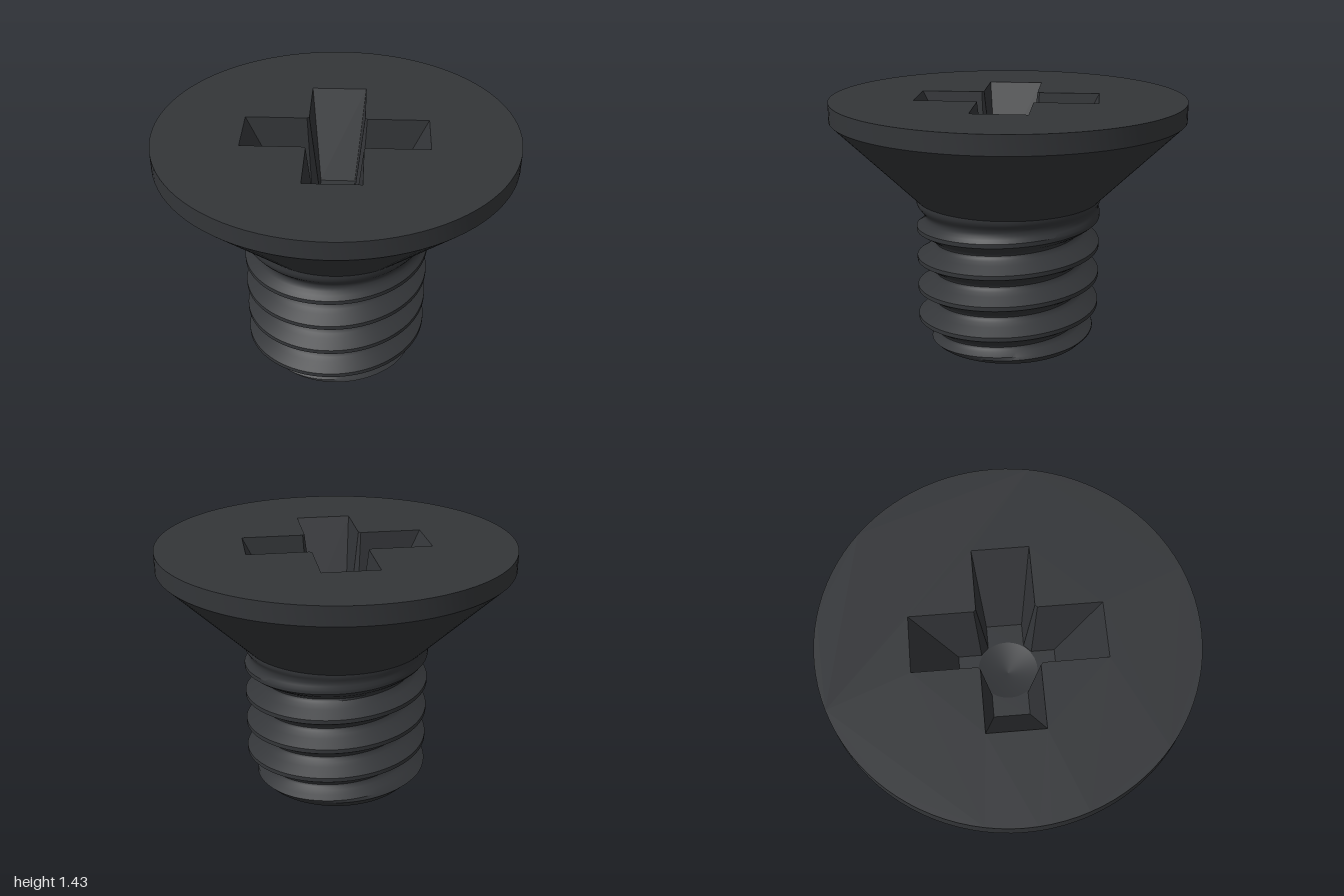
import * as THREE from 'three';
import { mergeVertices, toCreasedNormals } from 'three/addons/utils/BufferGeometryUtils.js';

const SEG = 96;
const TOP = 1.43, NECK = 0.86;           // head top and head/shank joint
const SHANK_R = 0.53, PITCH = 0.18;
const CREST_Y = 0.135;                   // a crest height on the +z side
const DEPTH = 0.48, PIT_R = 0.165;       // recess

const material = new THREE.MeshStandardMaterial({ color: 0x333538 });

function part(name, geometry) {
  const mesh = new THREE.Mesh(geometry, material);
  mesh.name = name;
  return mesh;
}

function fromTriangles(points) {
  const geo = new THREE.BufferGeometry().setFromPoints(points);
  geo.computeVertexNormals();
  return geo;
}

// Half of the thread profile: distance from the crest, radius
const profile = [[0, 0.53], [0.012, 0.53], [0.03, 0.501], [0.048, 0.472], [0.065, 0.445], [0.078, 0.43], [0.09, 0.425]];

function threadRadius(a, y) {
  const turns = (y - CREST_Y) / PITCH - a / (2 * Math.PI);
  const d = Math.abs(turns - Math.round(turns)) * PITCH;
  let i = 1;
  while (i < profile.length - 1 && d > profile[i][0]) i++;
  const [d0, r0] = profile[i - 1], [d1, r1] = profile[i];
  let r = THREE.MathUtils.mapLinear(Math.min(d, d1), d0, d1, r0, r1);
  // Run-out below the head, chamfer at the tip
  r = THREE.MathUtils.lerp(r, SHANK_R, THREE.MathUtils.clamp((y - 0.67) / 0.17, 0, 1));
  return Math.min(r, 0.445 + y);
}

function threadPoint(a, y) {
  const r = threadRadius(a, y);
  return new THREE.Vector3(r * Math.sin(a), y, r * Math.cos(a));
}

// Rows follow the helix so crests and roots stay crisp
function threadGeometry() {
  const offsets = [];
  for (let k = -2; k <= 5; k++) {
    for (let i = profile.length - 1; i > 0; i--) offsets.push(k * PITCH - profile[i][0]);
    for (let i = 0; i < profile.length - 1; i++) offsets.push(k * PITCH + profile[i][0]);
  }
  const columns = [];
  for (let i = 0; i <= SEG; i++) {
    const a = (i / SEG) * 2 * Math.PI;
    columns.push(offsets.map((o) =>
      threadPoint(a, THREE.MathUtils.clamp(CREST_Y + (PITCH * i) / SEG + o, 0, NECK))));
  }
  const tris = [];
  const add = (a, b, c) => {
    if (new THREE.Triangle(a, b, c).getArea() > 1e-8) tris.push(a, b, c);
  };
  for (let i = 0; i < SEG; i++) {
    for (let j = 0; j < offsets.length - 1; j++) {
      const p = columns[i], q = columns[i + 1];
      add(p[j], q[j], q[j + 1]);
      add(p[j], q[j + 1], p[j + 1]);
    }
  }
  return toCreasedNormals(fromTriangles(tris), 0.6);
}

function tipGeometry() {
  const tris = [];
  for (let i = 0; i < SEG; i++) {
    const a = (i / SEG) * 2 * Math.PI, b = ((i + 1) / SEG) * 2 * Math.PI;
    tris.push(new THREE.Vector3(), threadPoint(b, 0), threadPoint(a, 0));
  }
  return fromTriangles(tris);
}

// Cross outline: arm length, half width, inner corner bevel
function crossOutline(len, w, bevel) {
  const pts = [];
  const arm = [[len, -w], [len, w], [w + bevel, w], [w, w + bevel]];
  for (let q = 0; q < 4; q++) {
    for (const [x, y] of arm) {
      pts.push(new THREE.Vector2(x, y).rotateAround(new THREE.Vector2(), (q * Math.PI) / 2));
    }
  }
  return pts;
}

function flatFace(shape, y) {
  return new THREE.ShapeGeometry(shape, SEG).rotateX(-Math.PI / 2).translate(0, y, 0);
}

function circle(r) {
  const pts = [];
  for (let i = 0; i < SEG; i++) {
    const a = (i / SEG) * 2 * Math.PI;
    pts.push(new THREE.Vector2(r * Math.cos(a), r * Math.sin(a)));
  }
  return pts;
}

function lathe(points) {
  const geo = new THREE.LatheGeometry(points.map(([r, y]) => new THREE.Vector2(r, y)), SEG);
  geo.deleteAttribute('normal');
  geo.deleteAttribute('uv');
  return toCreasedNormals(mergeVertices(geo), 0.5);
}

export function createModel() {
  const group = new THREE.Group();
  group.name = 'countersunkScrew';

  // Head: cone, rim and top face with the cross cut out
  const upper = crossOutline(0.51, 0.155, 0.012);
  const lower = crossOutline(0.27, 0.1, 0.04);
  const face = new THREE.Shape(circle(1));
  face.holes.push(new THREE.Path(upper));
  group.add(part('headSide', lathe([[SHANK_R, NECK], [1, 1.325], [1, TOP]])));
  group.add(part('headTop', flatFace(face, TOP)));

  // Recess: tapered walls, floor and shallow conical pit
  const recess = new THREE.Group();
  recess.name = 'crossRecess';
  const floorY = TOP - DEPTH;
  const at = (p, y) => new THREE.Vector3(p.x, y, -p.y);
  const walls = [];
  upper.forEach((p, i) => {
    const n = (i + 1) % upper.length;
    const t0 = at(p, TOP), t1 = at(upper[n], TOP);
    const b0 = at(lower[i], floorY), b1 = at(lower[n], floorY);
    walls.push(b1, b0, t0, b1, t0, t1);
  });
  const floor = new THREE.Shape(lower);
  floor.holes.push(new THREE.Path(circle(PIT_R)));
  recess.add(part('recessWalls', fromTriangles(walls)));
  recess.add(part('recessFloor', flatFace(floor, floorY)));
  recess.add(part('recessPit', lathe([[PIT_R, floorY], [0, floorY - 0.05]])));
  group.add(recess);

  // Threaded shank
  group.add(part('thread', threadGeometry()));
  group.add(part('shankTip', tipGeometry()));
  return group;
}
